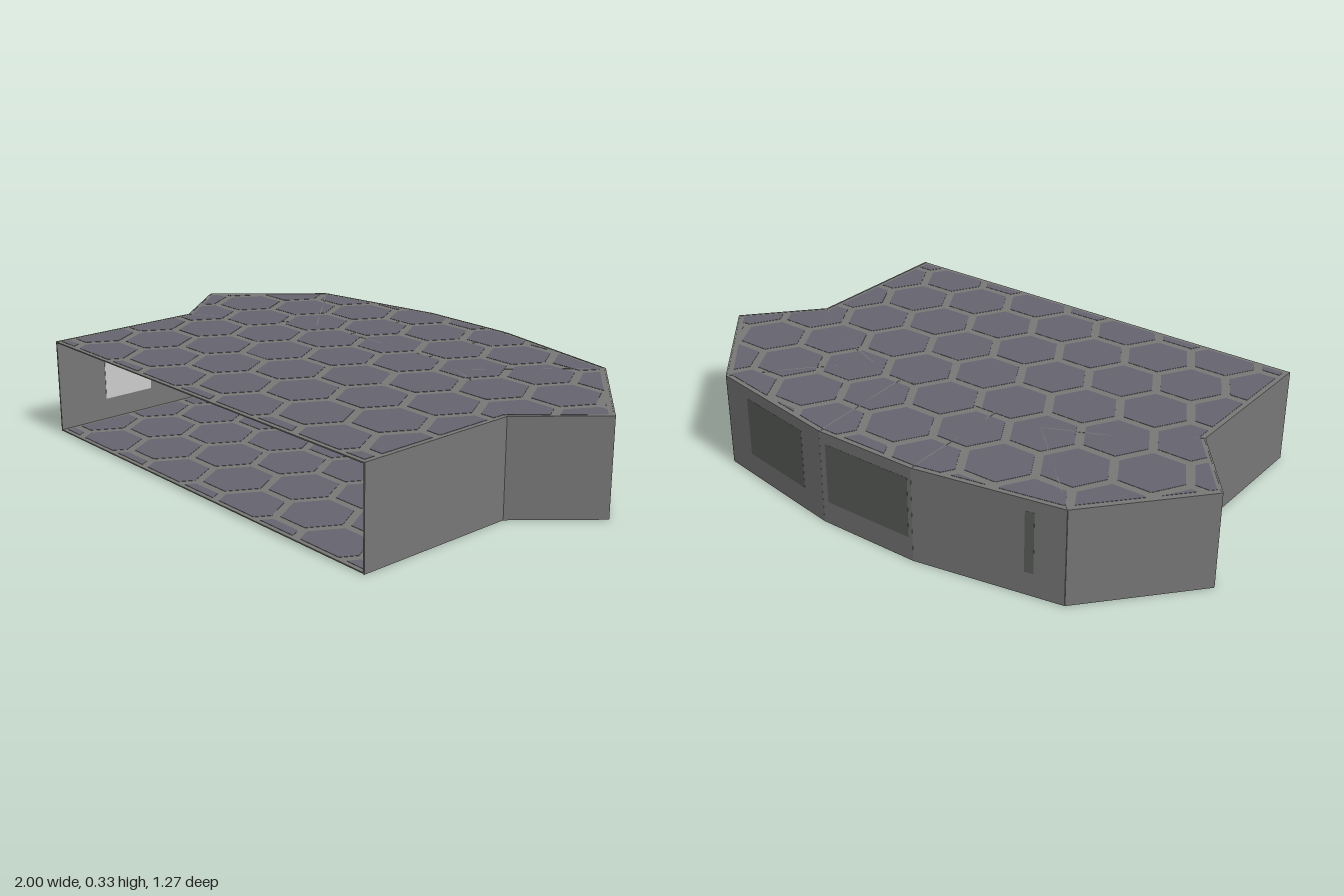
import * as THREE from 'three';

const H = 0.33;
const SLAB = 0.006;
const mat = (color) => new THREE.MeshStandardMaterial({ color, flatShading: true });

// Plan of the building, [x, z], from the front right corner round the back; the front is open
const PLAN = [
  [0.79, 0.63], [0.79, 0.06], [1, -0.18], [0.68, -0.545], [0.17, -0.635],
  [-0.2, -0.635], [-0.7, -0.545], [-1, -0.2], [-0.8, 0.05], [-0.8, 0.62],
];

// Upright slab between two plan points
function wall(name, a, b, material, thick = 0.005, y0 = 0, y1 = H) {
  const dx = b[0] - a[0], dz = b[1] - a[1];
  const mesh = new THREE.Mesh(new THREE.BoxGeometry(Math.hypot(dx, dz), y1 - y0, thick), material);
  mesh.position.set((a[0] + b[0]) / 2, (y0 + y1) / 2, (a[1] + b[1]) / 2);
  mesh.rotation.y = -Math.atan2(dz, dx);
  mesh.name = name;
  return mesh;
}

// Panel covering the fractions f0..f1 of a wall, shifted sideways by off
function panel(name, a, b, f0, f1, off, material) {
  const len = Math.hypot(b[0] - a[0], b[1] - a[1]);
  const nx = -(b[1] - a[1]) / len, nz = (b[0] - a[0]) / len;
  const at = (f) => [a[0] + (b[0] - a[0]) * f + nx * off, a[1] + (b[1] - a[1]) * f + nz * off];
  return wall(name, at(f0), at(f1), material, 0.002, 0.08, 0.29);
}

// Extruded plan polygon lying flat, from y0 to y1
function flat(points, y0, y1) {
  const shape = new THREE.Shape(points.map(([x, z]) => new THREE.Vector2(x, -z)));
  const g = new THREE.ExtrudeGeometry(shape, { depth: y1 - y0, bevelEnabled: false });
  return g.rotateX(-Math.PI / 2).translate(0, y0, 0);
}

// Clip a convex polygon by a convex counter-clockwise region
function clip(poly, region) {
  region.forEach((a, i) => {
    const b = region[(i + 1) % region.length];
    const side = (p) => (b[0] - a[0]) * (p[1] - a[1]) - (b[1] - a[1]) * (p[0] - a[0]);
    const out = [];
    poly.forEach((p, k) => {
      const q = poly[(k + 1) % poly.length], sp = side(p), sq = side(q);
      if (sp <= 0) out.push(p);
      if (sp * sq < 0) {
        const t = sp / (sp - sq);
        out.push([p[0] + (q[0] - p[0]) * t, p[1] + (q[1] - p[1]) * t]);
      }
    });
    poly = out;
  });
  return poly;
}

// Hexagon tiles cut to the plan, showing on both faces of a slab
function tiles(y0, y1, material) {
  const group = new THREE.Group();
  const inset = PLAN.map(([x, z]) => [x * 0.98, z * 0.975]);
  const regions = [inset.slice(1, 9), [inset[0], inset[1], inset[8], inset[9]]];
  const pitch = 0.13, R = 0.114;
  for (let i = -6; i <= 6; i++) {
    for (let j = -4; j <= 4; j++) {
      const cx = i * pitch * 1.5, cz = (j + (i & 1) / 2) * pitch * Math.sqrt(3);
      const hex = [];
      for (let k = 0; k < 6; k++) {
        hex.push([cx + R * Math.cos(k * Math.PI / 3), cz + R * Math.sin(k * Math.PI / 3)]);
      }
      for (const region of regions) {
        const cut = clip(hex, region);
        if (cut.length < 3) continue;
        const tile = new THREE.Mesh(flat(cut, y0, y1), material);
        tile.name = 'hexTile';
        group.add(tile);
      }
    }
  }
  return group;
}

export function createModel() {
  const model = new THREE.Group();
  model.name = 'pavilion';
  const wallMat = mat(0x777777), slabMat = mat(0x777775), tileMat = mat(0x65646f);
  const lightMat = mat(0xdddddd), glassMat = mat(0x5c605d);

  // Floor and ceiling with their tiles
  for (const [name, y] of [['floor', 0], ['ceiling', H - SLAB]]) {
    const slab = new THREE.Mesh(flat(PLAN, y + 0.001, y + SLAB - 0.001), slabMat);
    slab.name = name;
    const pattern = tiles(y, y + SLAB, tileMat);
    pattern.name = name + 'Tiles';
    model.add(slab, pattern);
  }

  // Outer walls
  for (let i = 0; i < PLAN.length - 1; i++) {
    model.add(wall('outerWall', PLAN[i], PLAN[i + 1], wallMat));
  }

  // Panels inside the walls, with dark panes outside where the wall has a window
  const windows = [
    [0, 0.33, 0.67, false], [2, 0.17, 0.82, true], [3, 0.23, 0.81, true], [4, 0.06, 0.96, true],
    [5, 0.18, 0.77, false], [6, 0.18, 0.83, false], [8, 0.33, 0.67, false],
  ];
  for (const [i, f0, f1, open] of windows) {
    model.add(panel('innerPanel', PLAN[i], PLAN[i + 1], f0, f1, -0.003, lightMat));
    if (open) model.add(panel('windowPane', PLAN[i], PLAN[i + 1], f0, f1, 0.002, glassMat));
  }
  model.add(panel('windowPane', PLAN[5], PLAN[6], 0.74, 0.8, 0.002, glassMat));

  // Partitions of the rear rooms, as polylines with doorways left between them
  const partitions = [
    [[0.68, -0.545], [0.36, -0.17], [0.55, -0.1]],
    [[-0.7, -0.545], [-0.36, -0.2], [-0.57, -0.11]],
    [[-0.2, -0.635], [-0.19, -0.21], [-0.03, -0.21]],
    [[0.17, -0.635], [0.2, -0.21], [0.14, -0.215]],
    [[0.79, 0.06], [0.7, 0]],
    [[-0.8, 0.05], [-0.7, -0.01]],
  ];
  for (const line of partitions) {
    for (let i = 0; i < line.length - 1; i++) {
      model.add(wall('partition', line[i], line[i + 1], wallMat, 0.004));
    }
  }
  return model;
}
